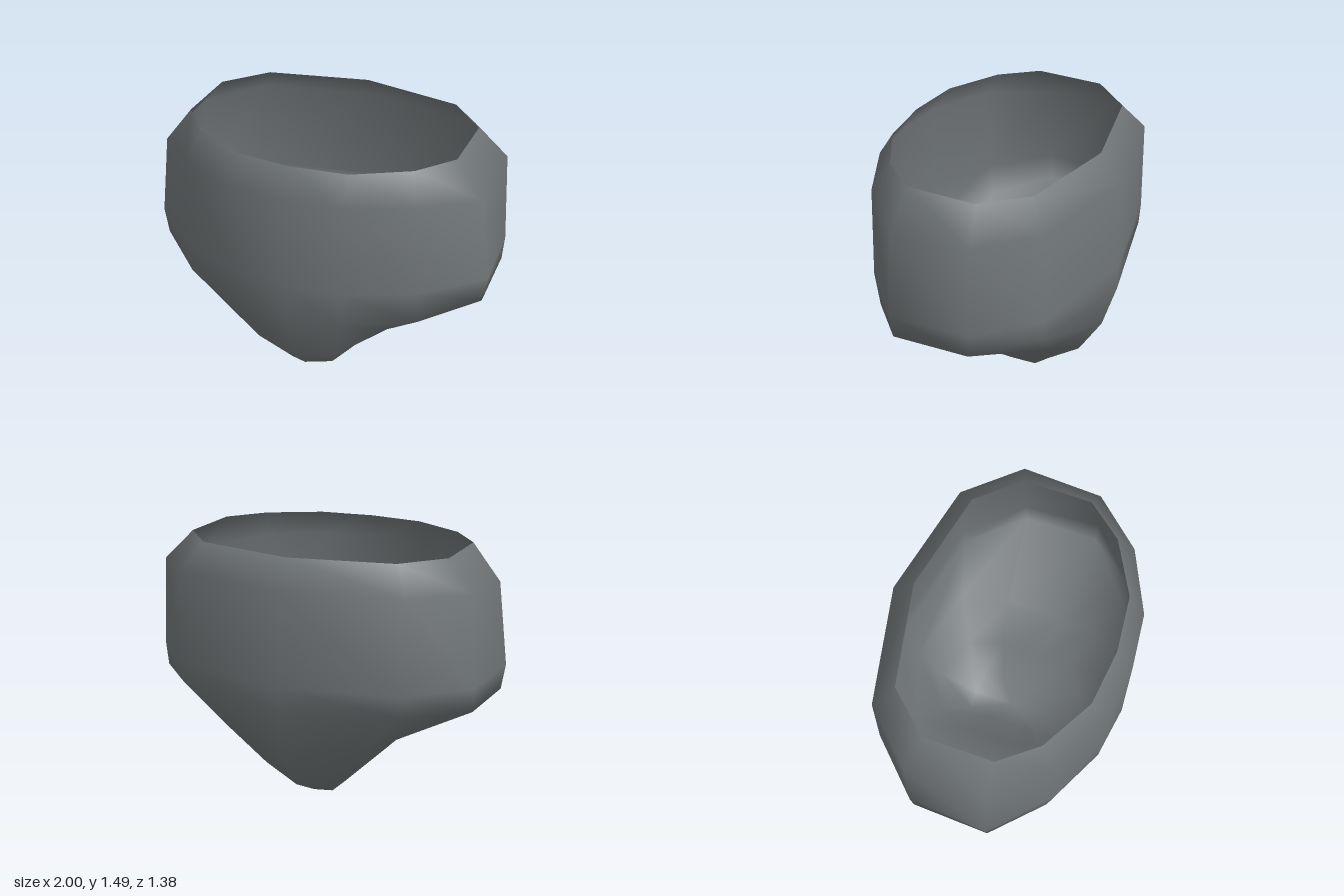
import * as THREE from 'three';

// Each column runs from the waist rim down to the underside strip: [x, y, z].
// Columns go from the front centre round the left side to the back centre.
const COLUMNS = [
  [[0, 1.49, 0.59], [0, 1.34, 0.69], [0, 0.8, 0.69], [0, 0.59, 0.69], [0, 0.26, 0.59], [0, 0.1, 0.42], [0, 0, 0.2]],
  [[0.32, 1.49, 0.555], [0.31, 1.34, 0.655], [0.31, 0.8, 0.655], [0.31, 0.6, 0.645], [0.24, 0.3, 0.53], [0.16, 0.13, 0.39], [0.12, 0.03, 0.2]],
  [[0.62, 1.49, 0.39], [0.67, 1.33, 0.485], [0.69, 0.8, 0.49], [0.69, 0.6, 0.46], [0.48, 0.42, 0.35], [0.29, 0.23, 0.27], [0.13, 0.03, 0.16]],
  [[0.785, 1.49, 0.185], [0.945, 1.28, 0.2], [1, 0.8, 0.2], [0.975, 0.65, 0.2], [0.5, 0.4, 0.14], [0.3, 0.2, 0.1], [0.13, 0.03, 0.07]],
  [[0.785, 1.49, -0.21], [0.945, 1.32, -0.26], [0.97, 0.8, -0.26], [0.96, 0.66, -0.25], [0.5, 0.4, -0.2], [0.3, 0.2, -0.16], [0.13, 0.03, -0.1]],
  [[0.58, 1.49, -0.44], [0.67, 1.34, -0.55], [0.68, 0.8, -0.555], [0.67, 0.68, -0.55], [0.42, 0.42, -0.48], [0.24, 0.2, -0.38], [0.12, 0.03, -0.24]],
  [[0, 1.49, -0.56], [0, 1.34, -0.69], [0, 0.8, -0.695], [0, 0.65, -0.695], [0, 0.37, -0.61], [0, 0.14, -0.47], [0, 0.015, -0.24]],
];

function shellGeometry() {
  // Mirror the side columns to close the loop
  const mirrored = COLUMNS.slice(1, -1).reverse().map(col => col.map(([x, y, z]) => [-x, y, z]));
  const loop = [...COLUMNS, ...mirrored];
  const rows = COLUMNS[0].length;
  const positions = loop.flat(2);
  const index = [];
  const center = loop.length * rows;
  positions.push(0, 0.007, 0);

  for (let c = 0; c < loop.length; c++) {
    const a = c * rows;
    const b = ((c + 1) % loop.length) * rows;
    for (let r = 0; r < rows - 1; r++) {
      index.push(a + r, a + r + 1, b + r + 1, a + r, b + r + 1, b + r);
    }
    // Close the narrow strip underneath
    index.push(a + rows - 1, center, b + rows - 1);
  }

  const geometry = new THREE.BufferGeometry();
  geometry.setAttribute('position', new THREE.Float32BufferAttribute(positions, 3));
  geometry.setIndex(index);
  geometry.computeVertexNormals();
  return geometry;
}

export function createModel() {
  const group = new THREE.Group();
  group.name = 'hipSection';

  const grey = new THREE.MeshStandardMaterial({ color: 0x707577, side: THREE.DoubleSide });
  grey.name = 'slateGrey';

  // Open-topped hip shell
  const shell = new THREE.Mesh(shellGeometry(), grey);
  shell.name = 'hipShell';
  group.add(shell);
  return group;
}
